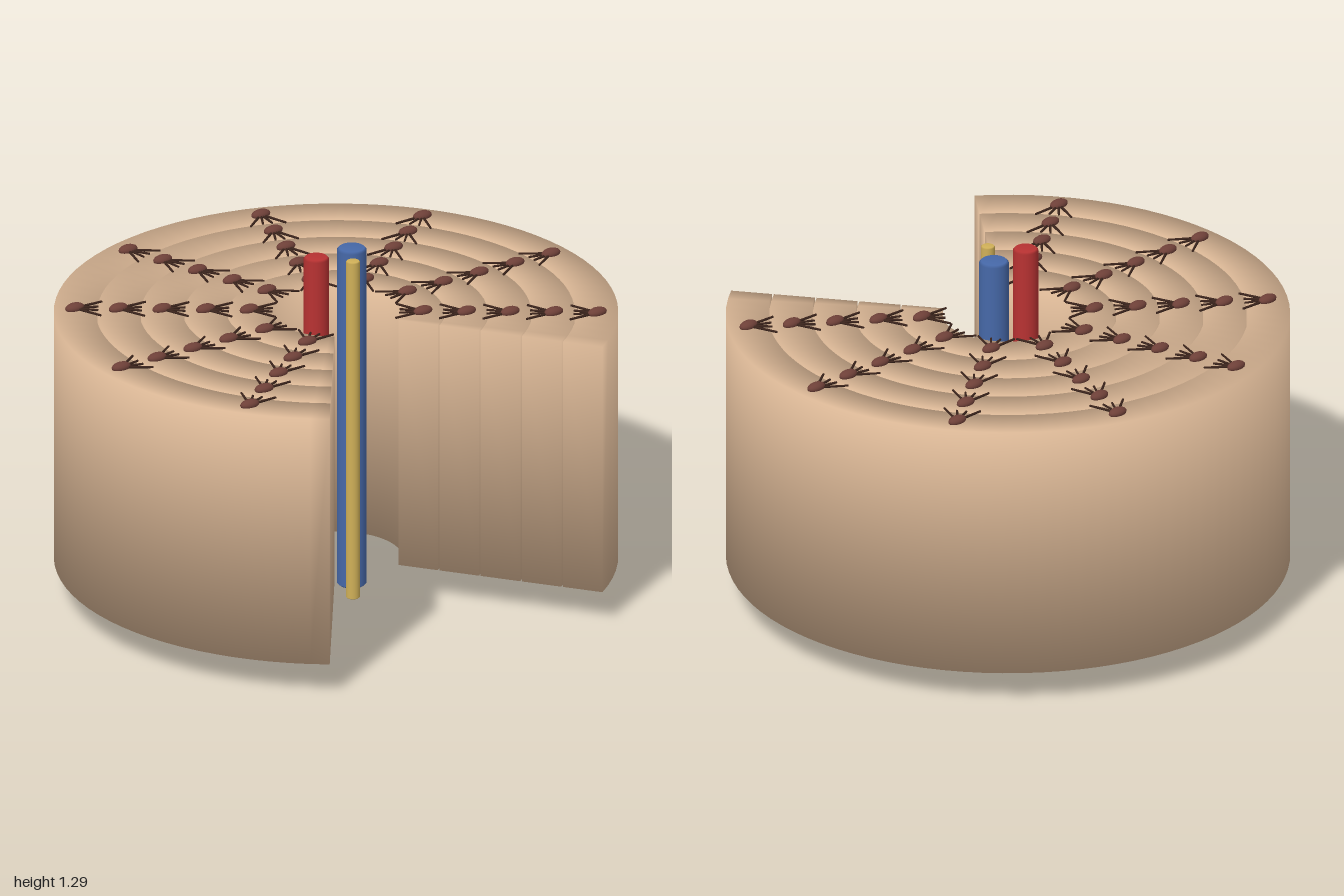
import * as THREE from 'three';

const CZ = 0.095; // centre of the rings in z
const Y0 = 0.12, Y1 = 1.06;
const GAP = Math.PI / 5; // half of the open front wedge

const mat = (name, color) => new THREE.MeshStandardMaterial({ name, color });

// Open ring with a square section; corner normals are shared for a soft, rounded look
function ringGeometry(ri, ro, segments = 72) {
  const corners = [[ro, Y0, 1, -1], [ro, Y1, 1, 1], [ri, Y1, -1, 1], [ri, Y0, -1, -1]];
  const pos = [], nor = [], index = [];
  for (let j = 0; j <= segments; j++) {
    const t = GAP + (j / segments) * 2 * (Math.PI - GAP);
    const s = Math.sin(t), c = Math.cos(t);
    const end = j === 0 ? -1 : j === segments ? 1 : 0;
    for (const [r, y, nr, ny] of corners) {
      pos.push(r * s, y, r * c);
      const n = new THREE.Vector3(nr * s + end * c, ny, nr * c - end * s).normalize();
      nor.push(n.x, n.y, n.z);
    }
    if (j < segments) {
      for (let k = 0; k < 4; k++) {
        const a = j * 4 + k, b = j * 4 + ((k + 1) % 4);
        index.push(a, a + 4, b + 4, a, b + 4, b);
      }
    }
  }
  const e = segments * 4;
  index.push(0, 1, 2, 0, 2, 3, e, e + 2, e + 1, e, e + 3, e + 2);
  const g = new THREE.BufferGeometry();
  g.setAttribute('position', new THREE.Float32BufferAttribute(pos, 3));
  g.setAttribute('normal', new THREE.Float32BufferAttribute(nor, 3));
  g.setIndex(index);
  return g;
}

// Upright rod with slightly softened rims
function rodGeometry(r, h) {
  const b = r * 0.15;
  const profile = [[0, 0], [r - b, 0], [r, b], [r, h - b], [r - b, h], [0, h]];
  return new THREE.LatheGeometry(profile.map(([x, y]) => new THREE.Vector2(x, y)), 32);
}

export function createModel() {
  const bone = mat('bone', 0xd8b594);
  const cellBrown = mat('cell brown', 0x6e4038);
  const darkBrown = mat('dark brown', 0x3b241c);
  const red = mat('red', 0xb83232);
  const blue = mat('blue', 0x4668a8);
  const yellow = mat('yellow', 0xd0b058);

  const model = new THREE.Group();
  model.name = 'layeredBoneColumn';
  const add = (parent, name, geometry, material, x = 0, y = 0, z = 0) => {
    const m = new THREE.Mesh(geometry, material);
    m.name = name;
    m.position.set(x, y, z);
    parent.add(m);
    return m;
  };

  const cellGeo = new THREE.SphereGeometry(1, 16, 10);
  // Branches fan out towards the centre: [angle, length]
  const branches = [[-0.6, 0.115], [-0.2, 0.085], [0.2, 0.085], [0.6, 0.115]];

  for (let i = 0; i < 5; i++) {
    // Concentric bone layer
    const ro = 1 - i * 0.1545, ri = ro - 0.148;
    add(model, 'boneLayer' + (i + 1), ringGeometry(ri, ro), bone, 0, 0, CZ);

    // Eight flat cells with thin branches on top of the layer
    const rm = (ro + ri) / 2;
    for (let k = -1; k <= 6; k++) {
      const a = (k * Math.PI) / 5;
      const cell = new THREE.Group();
      cell.name = 'boneCell';
      cell.position.set(rm * Math.cos(a), 1.066, CZ - rm * Math.sin(a));
      add(cell, 'cellBody', cellGeo, cellBrown).scale.set(0.038, 0.018, 0.023);
      for (const [turn, len] of branches) {
        const d = a + Math.PI + turn;
        const dir = new THREE.Vector3(Math.cos(d), 0, -Math.sin(d));
        const branch = add(cell, 'cellBranch', new THREE.CylinderGeometry(0.004, 0.005, len, 6), darkBrown,
          dir.x * len / 2, -0.002, dir.z * len / 2);
        branch.quaternion.setFromUnitVectors(new THREE.Vector3(0, 1, 0), dir);
      }
      model.add(cell);
    }
  }

  // Vessels and nerve in the central canal
  add(model, 'redVessel', rodGeometry(0.045, 1.29), red, -0.085, 0, 0.095);
  add(model, 'blueVessel', rodGeometry(0.053, 1.29), blue, 0.068, 0, 0.095);
  add(model, 'nerve', rodGeometry(0.025, 1.29), yellow, 0, 0, 0.2);
  return model;
}
